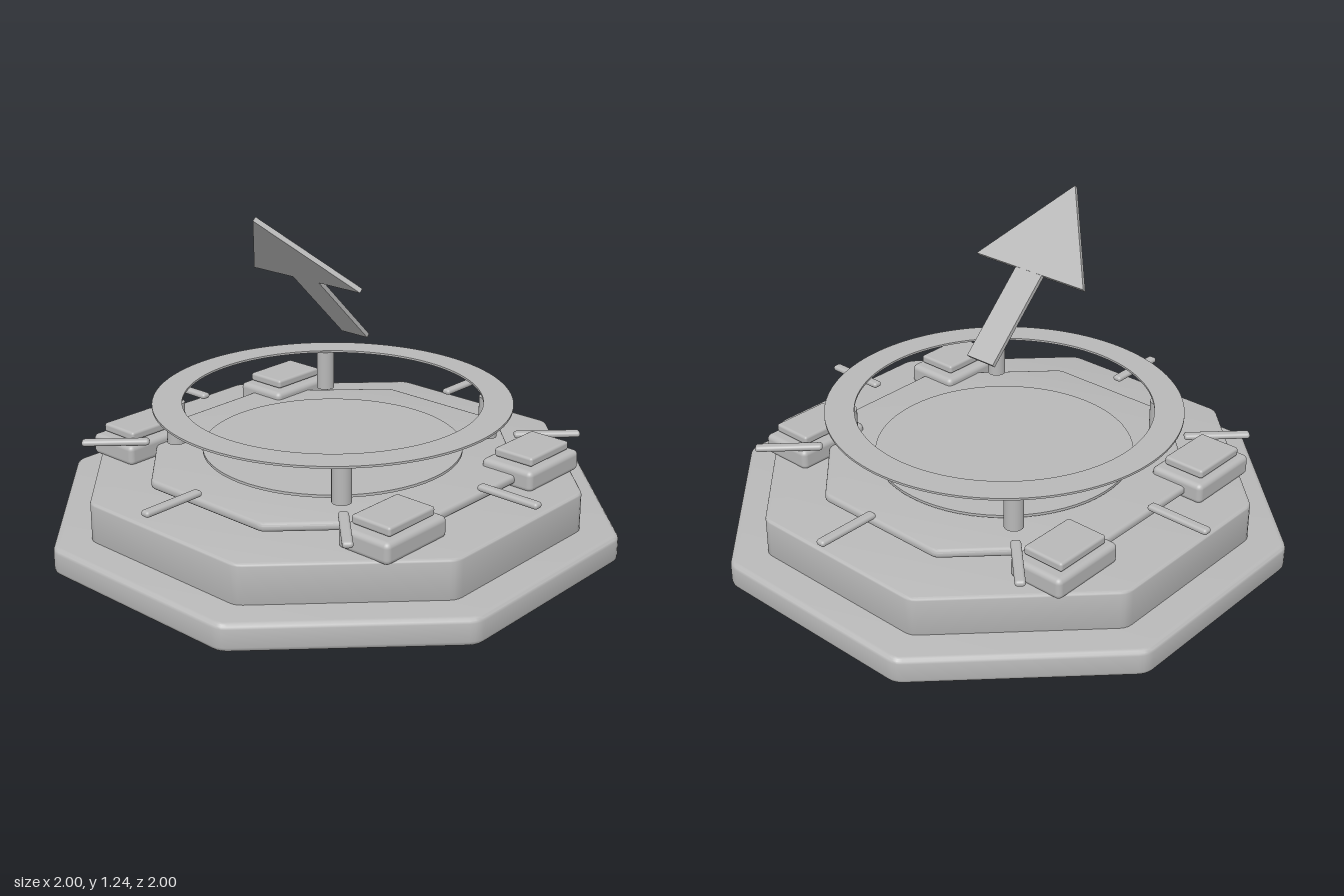
import * as THREE from 'three';
import { toCreasedNormals } from 'three/addons/utils/BufferGeometryUtils.js';
import { RoundedBoxGeometry } from 'three/addons/geometries/RoundedBoxGeometry.js';

export function createModel() {
  const model = new THREE.Group();
  model.name = 'arrowPlatform';
  const grey = new THREE.MeshStandardMaterial({ color: 0xb8b8b8 });
  grey.name = 'plain grey';

  function add(name, geometry, x = 0, y = 0, z = 0, parent = model) {
    const mesh = new THREE.Mesh(geometry, grey);
    mesh.name = name;
    mesh.position.set(x, y, z);
    parent.add(mesh);
    return mesh;
  }

  // Regular octagon slab with softened corners and bevelled rims
  function octagonSlab(apothem, height, bevel) {
    const radius = apothem / Math.cos(Math.PI / 8);
    const corner = (i) => {
      const a = Math.PI / 8 + (i * Math.PI) / 4;
      return new THREE.Vector2(Math.cos(a) * radius, Math.sin(a) * radius);
    };
    const shape = new THREE.Shape();
    for (let i = 0; i < 8; i++) {
      const c = corner(i);
      const start = c.clone().lerp(corner(i + 7), 0.035);
      const end = c.clone().lerp(corner(i + 1), 0.035);
      if (i === 0) shape.moveTo(start.x, start.y);
      else shape.lineTo(start.x, start.y);
      shape.quadraticCurveTo(c.x, c.y, end.x, end.y);
    }
    shape.closePath();
    const geometry = new THREE.ExtrudeGeometry(shape, {
      depth: height - 2 * bevel, curveSegments: 3,
      bevelThickness: bevel, bevelSize: bevel, bevelOffset: -bevel, bevelSegments: 3,
    });
    geometry.translate(0, 0, bevel).rotateX(-Math.PI / 2);
    return toCreasedNormals(geometry, 0.6);
  }

  // Stepped base
  add('lowerBase', octagonSlab(1.0, 0.1, 0.018), 0, 0, 0);
  add('upperBase', octagonSlab(0.87, 0.155, 0.01), 0, 0.09, 0);
  add('deckPlate', octagonSlab(0.66, 0.033, 0.012), 0, 0.256, 0);
  add('centreDisc', new THREE.CylinderGeometry(0.485, 0.485, 0.01, 64), 0, 0.305, 0);

  // Flat ring held above the deck
  const ringShape = new THREE.Shape().absarc(0, 0, 0.665, 0, Math.PI * 2);
  ringShape.holes.push(new THREE.Path().absarc(0, 0, 0.555, 0, Math.PI * 2, true));
  const ring = new THREE.ExtrudeGeometry(ringShape, { depth: 0.008, bevelEnabled: false, curveSegments: 64 });
  add('raisedRing', toCreasedNormals(ring.rotateX(-Math.PI / 2), 0.6), 0, 0.483, 0);

  // Ring posts and corner boxes with lids
  for (const sx of [-1, 1]) {
    for (const sz of [-1, 1]) {
      add('ringPost', new THREE.CylinderGeometry(0.035, 0.035, 0.158, 24), sx * 0.41, 0.406, sz * 0.41);
      add('cornerBox', new RoundedBoxGeometry(0.22, 0.08, 0.31, 3, 0.02), sx * 0.62, 0.277, sz * 0.393);
      add('cornerBoxLid', new RoundedBoxGeometry(0.165, 0.034, 0.235, 3, 0.01), sx * 0.623, 0.338, sz * 0.393);
    }
  }

  // Radial bars around the deck
  for (let i = 0; i < 8; i++) {
    const a = (i * Math.PI) / 4;
    const bar = add('radialBar', new RoundedBoxGeometry(0.037, 0.023, 0.25, 3, 0.011),
      Math.sin(a) * 0.805, 0.33, Math.cos(a) * 0.805);
    bar.rotation.y = a;
  }

  // Floating arrow leaning forward
  const arrow = new THREE.Group();
  arrow.name = 'arrow';
  arrow.position.set(0, 0.977, 0.137);
  arrow.rotation.x = Math.PI / 4;
  model.add(arrow);
  const headShape = new THREE.Shape([
    new THREE.Vector2(-0.255, 0), new THREE.Vector2(0.255, 0), new THREE.Vector2(0, 0.363),
  ]);
  const head = new THREE.ExtrudeGeometry(headShape, { depth: 0.018, bevelEnabled: false });
  add('arrowHead', head, 0, 0, -0.009, arrow);
  add('arrowShaft', new THREE.BoxGeometry(0.124, 0.385, 0.016), 0, -0.18, 0, arrow);

  return model;
}
